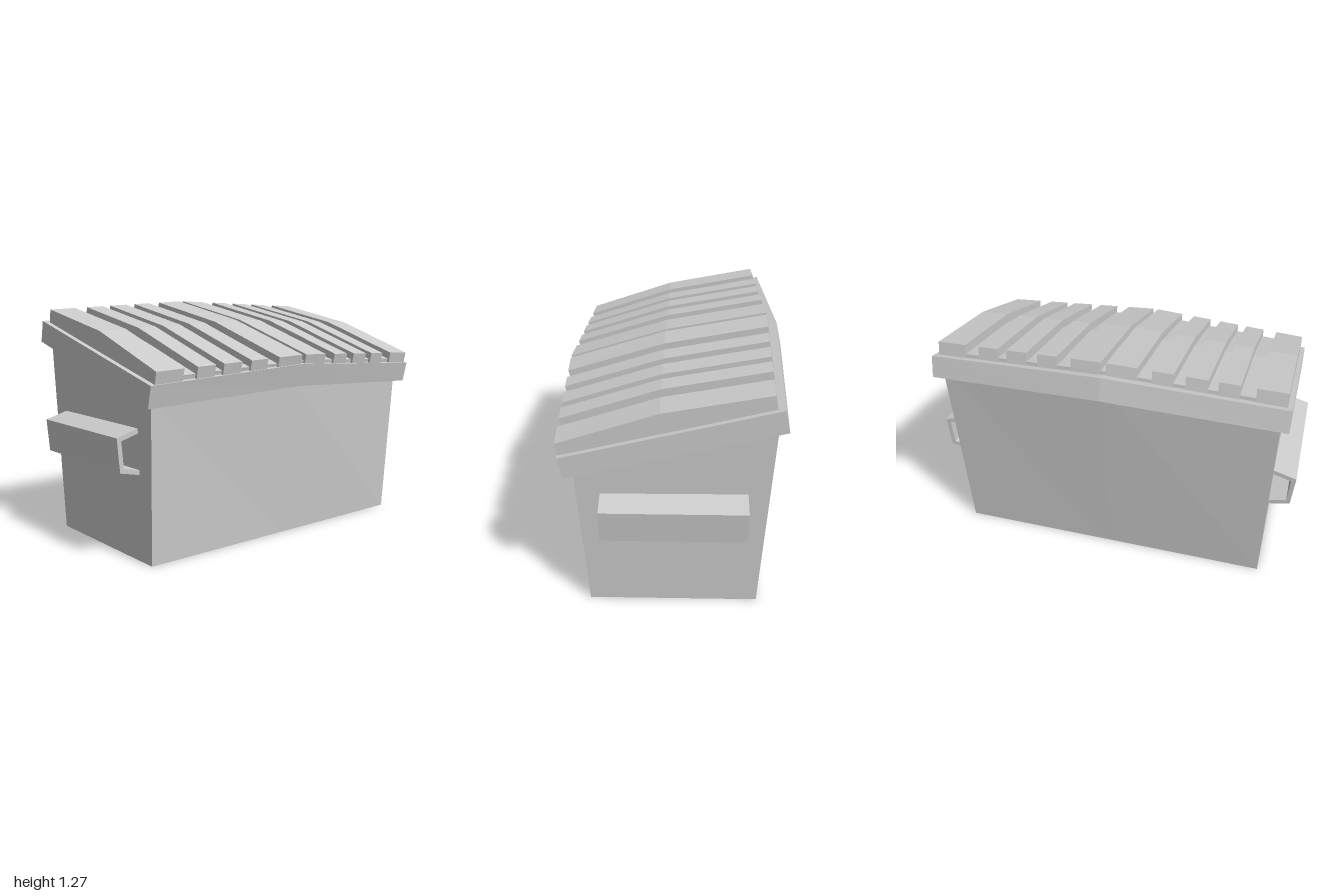
import * as THREE from 'three';

const material = new THREE.MeshStandardMaterial({ color: 0xcccccc, flatShading: true });

// Skin a closed solid through matching rings of [x, y, z], ordered from -x to +x.
// Each ring runs front bottom, back bottom, back top ... front top.
function loft(name, rings) {
  const pos = [];
  const tri = (a, b, c) => pos.push(...a, ...b, ...c);
  const n = rings[0].length;
  for (let i = 0; i < rings.length - 1; i++) {
    for (let j = 0; j < n; j++) {
      const k = (j + 1) % n;
      tri(rings[i][j], rings[i][k], rings[i + 1][k]);
      tri(rings[i][j], rings[i + 1][k], rings[i + 1][j]);
    }
  }
  const first = rings[0], last = rings[rings.length - 1];
  for (let j = 1; j < n - 1; j++) {
    tri(last[0], last[j], last[j + 1]);
    tri(first[0], first[j + 1], first[j]);
  }
  const geo = new THREE.BufferGeometry();
  geo.setAttribute('position', new THREE.Float32BufferAttribute(pos, 3));
  geo.computeVertexNormals();
  const mesh = new THREE.Mesh(geo, material);
  mesh.name = name;
  return mesh;
}

// Cross-sections: t is 0 at the middle of the bin and 1 at its ends.
const bodyRing = (s) => {
  const t = Math.abs(s);
  return [
    [s * 0.865, 0, 0.425], [s * 0.865, 0, -0.445],
    [s * 0.887, 1.12 - 0.04 * t, -0.522 + 0.018 * t],
    [s * 0.887, 0.86 - 0.04 * t, 0.497 - 0.026 * t],
  ];
};
const rimRing = (x) => {
  const t = Math.abs(x) / 0.93;
  return [
    [x, 0.83 - 0.04 * t, 0.55 - 0.04 * t], [x, 1.095 - 0.045 * t, -0.588 + 0.043 * t],
    [x, 1.215 - 0.05 * t, -0.56 + 0.04 * t], [x, 0.95 - 0.05 * t, 0.58 - 0.045 * t],
  ];
};
const lidRing = (x) => {
  const t = Math.abs(x) / 0.93;
  return [
    [x, 0.94 - 0.05 * t, 0.56 - 0.045 * t], [x, 1.19 - 0.05 * t, -0.512 + 0.03 * t],
    [x, 1.222 - 0.047 * t, -0.508 + 0.03 * t], [x, 1.12 - 0.043 * t, 0.05],
    [x, 0.968 - 0.04 * t, 0.568 - 0.045 * t],
  ];
};
const slatRing = (x) => {
  const t = Math.abs(x) / 0.93;
  return [
    [x, 0.94 - 0.05 * t, 0.573 - 0.045 * t], [x, 1.195 - 0.05 * t, -0.518 + 0.03 * t],
    [x, 1.268 - 0.041 * t, -0.502 + 0.03 * t], [x, 1.166 - 0.037 * t, 0.05],
    [x, 1.0 - 0.037 * t, 0.588 - 0.045 * t],
  ];
};

// Channel-shaped lifting pocket, open towards the bin wall
function pocket(side) {
  const outline = [
    [0.87, 0.678], [1.0, 0.64], [0.985, 0.468], [0.87, 0.443],
    [0.87, 0.467], [0.964, 0.487], [0.975, 0.623], [0.87, 0.653],
  ];
  const shape = new THREE.Shape(outline.map(([x, y]) => new THREE.Vector2(side * x, y)));
  const geo = new THREE.ExtrudeGeometry(shape, { depth: 0.722, bevelEnabled: false });
  geo.translate(0, 0, -0.376);
  const mesh = new THREE.Mesh(geo, material);
  mesh.name = side > 0 ? 'leftLiftPocket' : 'rightLiftPocket';
  return mesh;
}

export function createModel() {
  const bin = new THREE.Group();
  bin.name = 'wasteContainer';
  bin.add(loft('body', [-1, 0, 1].map(bodyRing)));
  bin.add(loft('rim', [-0.93, 0, 0.93].map(rimRing)));
  bin.add(pocket(1), pocket(-1));

  // Lid panel with raised slats, mirrored about the middle gap
  const lid = new THREE.Group();
  lid.name = 'lid';
  lid.add(loft('lidPanel', [-0.895, 0, 0.895].map(lidRing)));
  const slats = [[0.014, 0.17], [0.245, 0.35], [0.41, 0.52], [0.57, 0.675], [0.752, 0.905]];
  slats.forEach(([a, b], i) => {
    lid.add(loft(`leftSlat${i + 1}`, [a, b].map(slatRing)));
    lid.add(loft(`rightSlat${i + 1}`, [-b, -a].map(slatRing)));
  });
  bin.add(lid);
  return bin;
}
